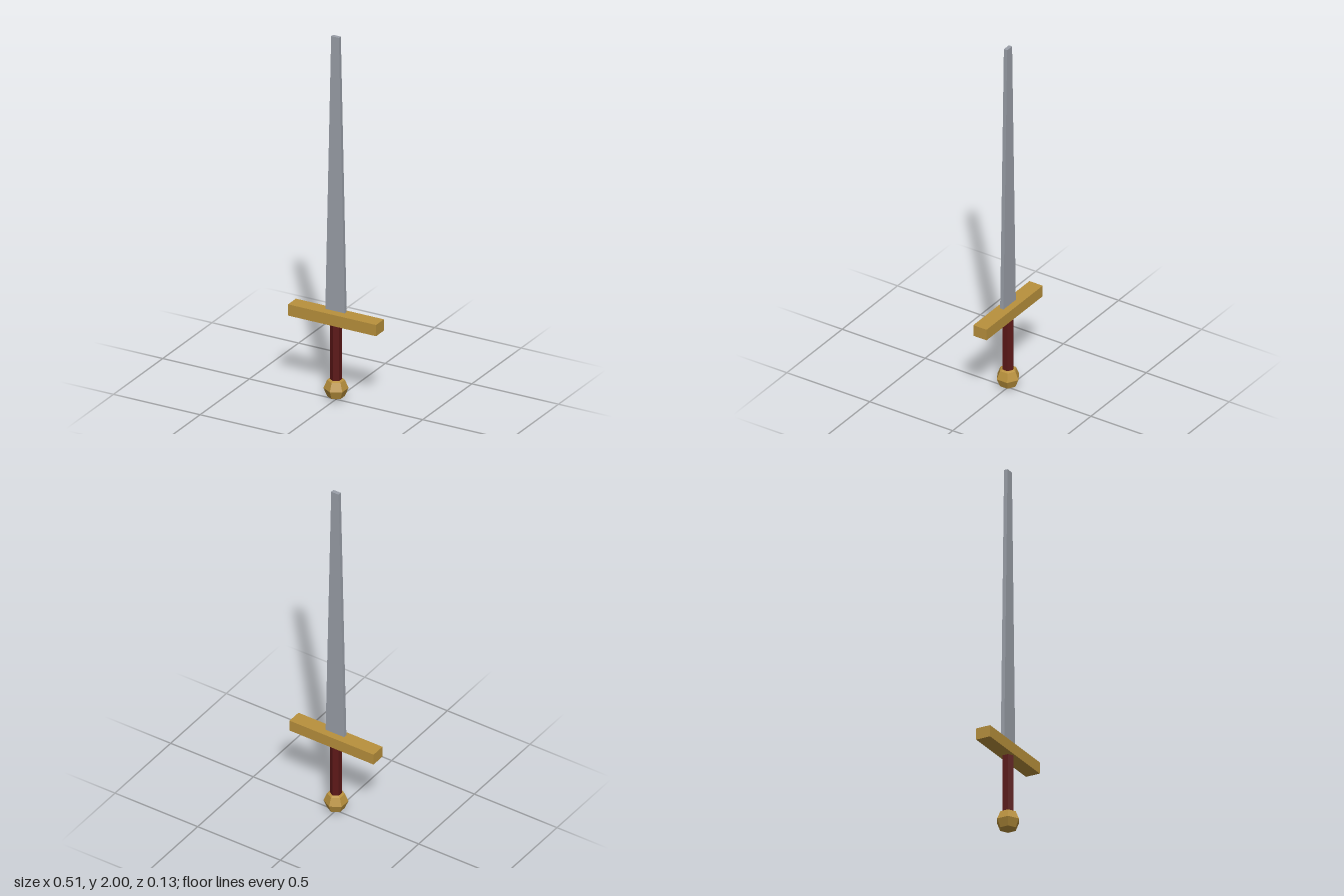
import * as THREE from 'three';

const material = (color) => new THREE.MeshStandardMaterial({ color, flatShading: true });

export function createModel() {
  const sword = new THREE.Group();
  sword.name = 'sword';
  const steel = material(0x9a9fa8);
  const brass = material(0xb8903c);
  const leather = material(0x5c1818);

  const add = (name, geometry, mat, y) => {
    const mesh = new THREE.Mesh(geometry, mat);
    mesh.name = name;
    mesh.position.y = y;
    sword.add(mesh);
    return mesh;
  };

  // Blade: thin box narrowed towards its blunt tip
  const bottom = 0.49, top = 2, tipScale = 0.4;
  const blade = new THREE.BoxGeometry(0.112, top - bottom, 0.02);
  const pos = blade.attributes.position;
  for (let i = 0; i < pos.count; i++) {
    if (pos.getY(i) > 0) pos.setX(i, pos.getX(i) * tipScale);
  }
  blade.computeVertexNormals();
  add('blade', blade, steel, (bottom + top) / 2);

  // Crossguard
  add('crossguard', new THREE.BoxGeometry(0.508, 0.062, 0.08), brass, 0.451);

  // Six-sided grip, running from inside the pommel to the guard
  add('grip', new THREE.CylinderGeometry(0.031, 0.031, 0.33, 6), leather, 0.265);

  // Faceted pommel with corners facing front and back
  const pommel = new THREE.SphereGeometry(0.063, 6, 4).rotateY(Math.PI / 2);
  add('pommel', pommel, brass, 0.063);

  return sword;
}
